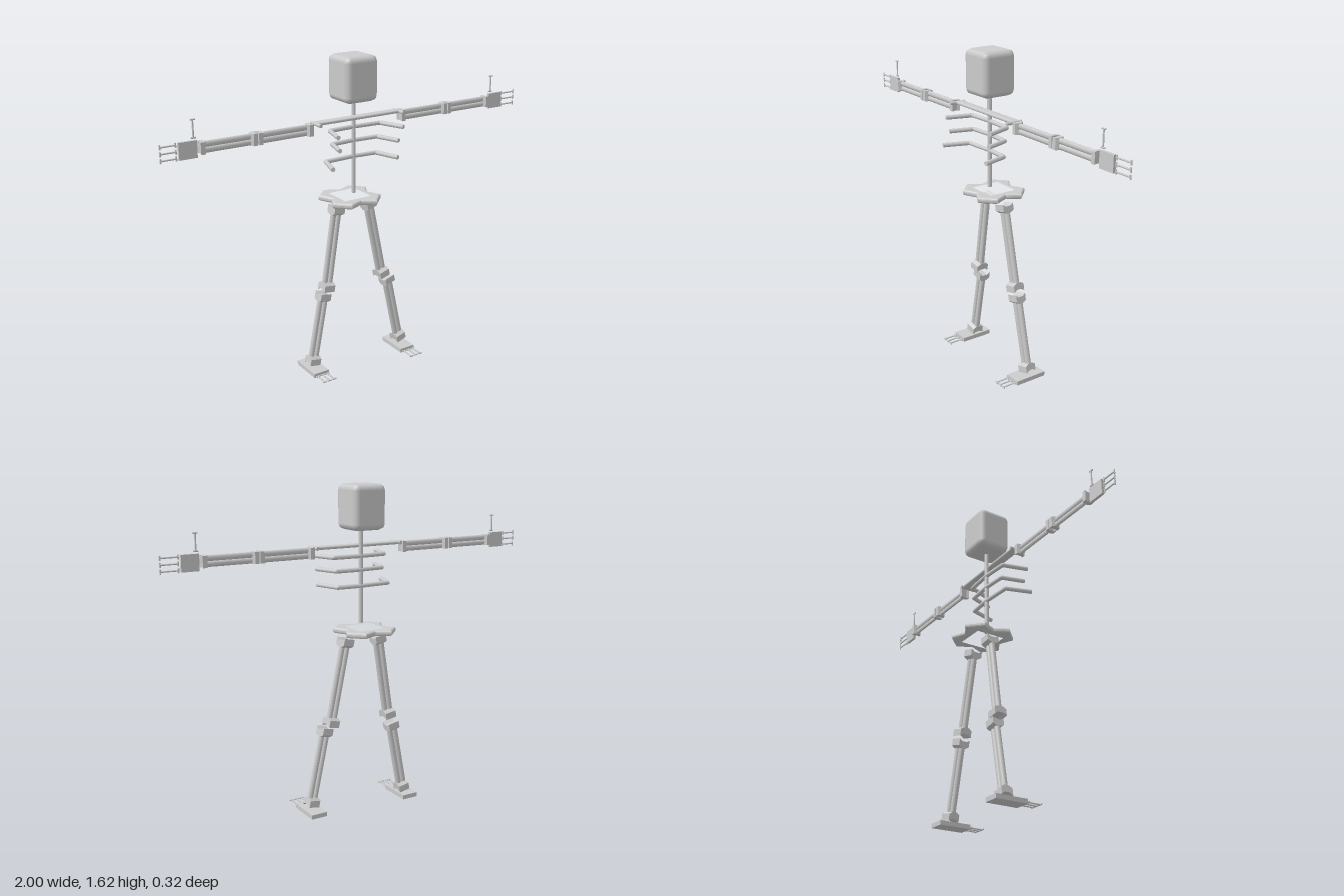
import * as THREE from 'three';
import { RoundedBoxGeometry } from 'three/addons/geometries/RoundedBoxGeometry.js';

const mat = new THREE.MeshStandardMaterial({ color: 0xcccccc });
const V = (x, y, z) => new THREE.Vector3(x, y, z);

function mesh(parent, name, geo, x = 0, y = 0, z = 0) {
  const m = new THREE.Mesh(geo, mat);
  m.name = name;
  m.position.set(x, y, z);
  parent.add(m);
  return m;
}

// Straight rod between two points
function rod(parent, name, a, b, r, sides = 8) {
  const m = mesh(parent, name, new THREE.CylinderGeometry(r, r, a.distanceTo(b), sides));
  m.position.copy(a).add(b).multiplyScalar(0.5);
  m.quaternion.setFromUnitVectors(V(0, 1, 0), b.clone().sub(a).normalize());
  return m;
}

// Rods joined end to end with round elbows
function bentRod(parent, name, pts, r) {
  const g = new THREE.Group();
  g.name = name;
  for (let i = 0; i < pts.length - 1; i++) {
    rod(g, name + 'Segment', pts[i], pts[i + 1], r);
    if (i) mesh(g, name + 'Elbow', new THREE.SphereGeometry(r, 8, 6), ...pts[i].toArray());
  }
  parent.add(g);
}

// Limb bone: twin shafts in the width, with notched flaring ends in the depth
function bone(parent, name, a, b, width, depth, flare, end) {
  const g = new THREE.Group();
  g.name = name;
  const len = a.distanceTo(b);
  for (const s of [-1, 1]) {
    const shaft = mesh(g, 'shaft', new THREE.CylinderGeometry(1, 1, len - end, 10), s * width * 0.24, 0, 0);
    shaft.scale.set(width * 0.25, 1, depth / 2);
    const d = depth / 2, f = flare / 2;
    const shape = new THREE.Shape([[-d, -end], [d, -end], [f, -end * 0.75], [f, 0],
      [f * 0.45, -end * 0.25], [-f * 0.45, -end * 0.25], [-f, 0], [-f, -end * 0.75]]
      .map(p => new THREE.Vector2(...p)));
    const geo = new THREE.ExtrudeGeometry(shape, { depth: width, bevelEnabled: false });
    geo.translate(0, 0, -width / 2).rotateY(Math.PI / 2);
    if (s < 0) geo.rotateX(Math.PI);
    mesh(g, 'boneEnd', geo, 0, s * len / 2, 0);
  }
  g.position.copy(a).add(b).multiplyScalar(0.5);
  g.quaternion.setFromUnitVectors(V(0, 1, 0), b.clone().sub(a).normalize());
  parent.add(g);
}

// Small finger bone: thin rod with a cap bar at each end
function digit(parent, name, a, b, capAxis, r = 0.004, cap = 0.022) {
  rod(parent, name, a, b, r, 6);
  const off = capAxis.clone().multiplyScalar(cap / 2);
  for (const p of [a, b]) rod(parent, name + 'Cap', p.clone().sub(off), p.clone().add(off), r, 6);
}

export function createModel() {
  const model = new THREE.Group();
  model.name = 'skeleton';

  // Head and spine
  mesh(model, 'skull', new RoundedBoxGeometry(0.18, 0.22, 0.18, 1, 0.03), -0.008, 1.51, 0.005);
  rod(model, 'spine', V(-0.006, 0.94, 0.008), V(-0.006, 1.42, 0.008), 0.011, 10);

  // Ribs: height, right tip, left tip, front depth
  for (const [y, xr, xl, zf] of [[1.272, -0.18, 0.19, 0.145], [1.205, -0.165, 0.17, 0.135], [1.125, -0.21, 0.16, 0.145]]) {
    bentRod(model, 'rib', [V(xr, y, zf), V(xr * 0.8, y, 0.015), V(-0.006, y, 0.006),
      V(xl * 0.75, y, 0.015), V(xl, y, zf)], 0.011);
  }

  // Collar bar with fore-and-aft shoulder bars
  mesh(model, 'collarbone', new RoundedBoxGeometry(0.48, 0.016, 0.045, 2, 0.007), 0, 1.322, 0.03);
  for (const x of [-0.235, 0.235]) rod(model, 'shoulderBar', V(x, 1.322, 0), V(x, 1.322, 0.085), 0.009);

  // Pelvis: lobed ring with a square opening
  const quarter = [[0, 0.09], [0.07, 0.122], [0.128, 0.065]];
  const outline = [];
  for (let i = 0; i < 4; i++) {
    for (const [x, y] of quarter) {
      outline.push(new THREE.Vector2(x, y).rotateAround(new THREE.Vector2(), -i * Math.PI / 2));
    }
  }
  const ring = new THREE.Shape(outline);
  const h = 0.075;
  ring.holes.push(new THREE.Path([[-h, -h], [-h, h], [h, h], [h, -h]].map(p => new THREE.Vector2(...p))));
  const pelvis = new THREE.ExtrudeGeometry(ring, { depth: 0.008, bevelThickness: 0.01, bevelSize: 0.012, bevelSegments: 3 });
  pelvis.translate(0, 0, -0.004).rotateX(-Math.PI / 2);
  mesh(model, 'pelvis', pelvis, -0.01, 0.907, -0.02);

  // Arms and hands
  for (const s of [-1, 1]) {
    const side = s > 0 ? 'left' : 'right';
    const o = s > 0 ? -0.012 : 0;
    const at = (x, y) => V(s * (x + o), y, 0.035);
    bone(model, side + 'UpperArm', at(0.257, 1.3), at(0.54, 1.3), 0.055, 0.018, 0.045, 0.028);
    bone(model, side + 'Forearm', at(0.545, 1.3), at(0.82, 1.3), 0.055, 0.018, 0.045, 0.028);
    const palm = at(0.872, 1.298);
    mesh(model, side + 'Palm', new THREE.BoxGeometry(0.085, 0.078, 0.014), palm.x, palm.y, palm.z);
    for (const y of [1.268, 1.298, 1.328]) {
      digit(model, side + 'Finger', V(s * (0.925 + o), y, 0.035), V(s * 0.996, y, 0.035), V(0, 1, 0));
    }
    digit(model, side + 'Thumb', at(0.842, 1.348), at(0.842, 1.428), V(1, 0, 0));
  }

  // Legs and feet, striding apart
  const legs = [
    { side: 'left', hip: V(0.09, 0.875, -0.01), knee: V(0.185, 0.44, -0.015), shin: V(0.207, 0.435, -0.005),
      ankle: V(0.297, 0.04, -0.01), foot: 0.292, heel: -0.09 },
    { side: 'right', hip: V(-0.083, 0.875, -0.025), knee: V(-0.15, 0.435, -0.025), shin: V(-0.153, 0.415, -0.045),
      ankle: V(-0.226, 0.03, -0.045), foot: -0.23, heel: -0.118 },
  ];
  for (const { side, hip, knee, shin, ankle, foot, heel } of legs) {
    bone(model, side + 'Thigh', hip, knee, 0.06, 0.028, 0.065, 0.045);
    bone(model, side + 'Shin', shin, ankle, 0.06, 0.028, 0.06, 0.045);
    mesh(model, side + 'Foot', new THREE.BoxGeometry(0.085, 0.022, 0.17), foot, 0.015, heel + 0.085);
    for (const dx of [-0.028, 0, 0.028]) {
      digit(model, side + 'Toe', V(foot + dx, 0.015, heel + 0.18), V(foot + dx, 0.015, heel + 0.246), V(1, 0, 0));
    }
  }
  const box = new THREE.Box3().setFromObject(model);
  model.position.y -= box.min.y;
  return model;
}
